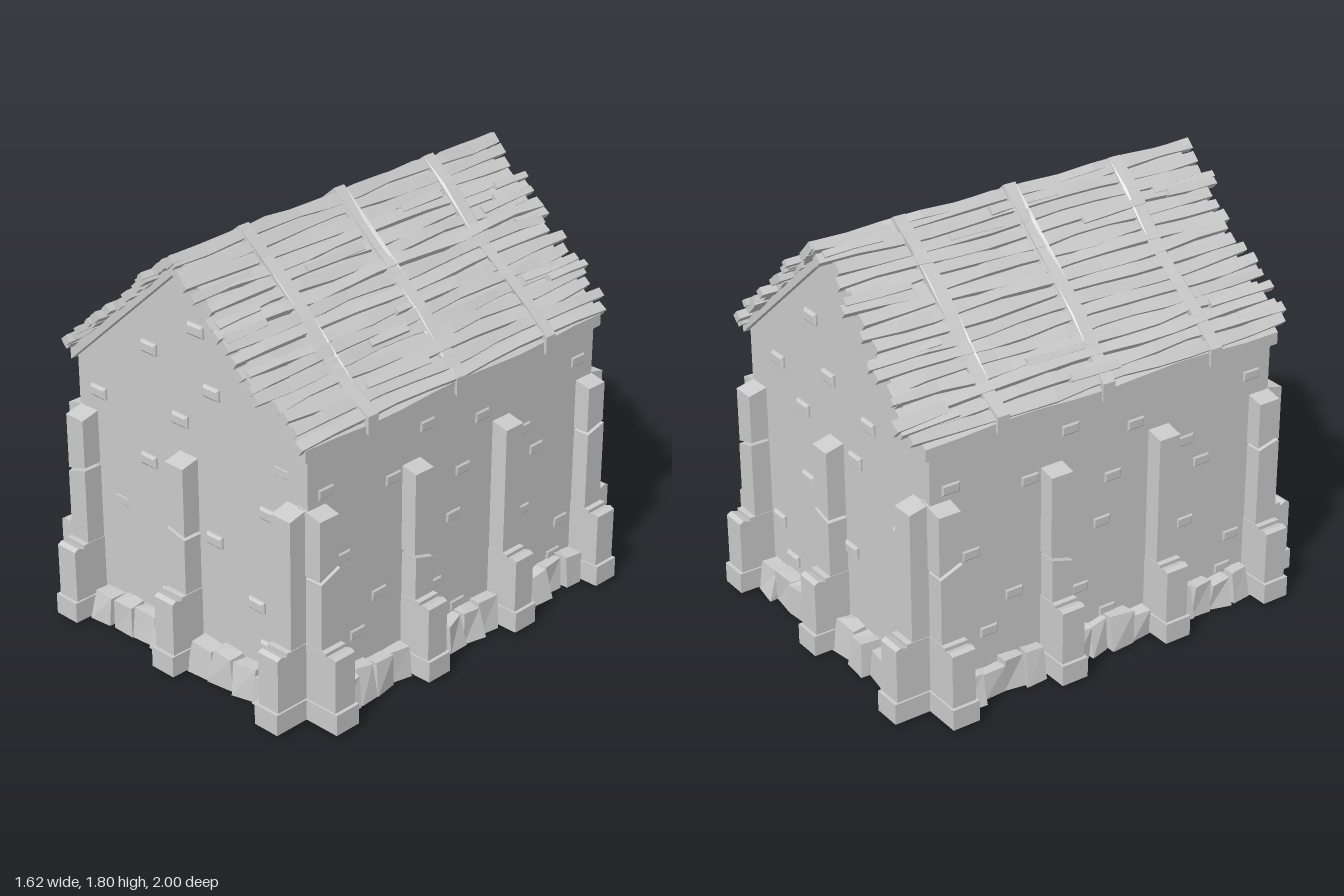
import * as THREE from 'three';

const stone = new THREE.MeshStandardMaterial({ color: 0xcccccc, flatShading: true });
const HX = 0.645, HZ = 0.825;          // half width and half length of the walls
const SLOPE = Math.atan(0.87), TAN = 0.87;

let seed = 7;
const rnd = () => (seed = (seed * 16807) % 2147483647) / 2147483647;
const vary = (a) => (rnd() * 2 - 1) * a;

function add(parent, name, geo) {
  geo.computeVertexNormals();
  const m = new THREE.Mesh(geo, stone);
  m.name = name;
  parent.add(m);
  return m;
}

// Moves every vertex by a rule
function warp(geo, rule) {
  const p = geo.attributes.position, v = new THREE.Vector3();
  for (let i = 0; i < p.count; i++) {
    v.fromBufferAttribute(p, i);
    rule(v);
    p.setXYZ(i, v.x, v.y, v.z);
  }
  return geo;
}

const polygon = (pts) => new THREE.Shape(pts.map(([x, y]) => new THREE.Vector2(x, y)));

function extrude(pts, depth, steps = 1) {
  return new THREE.ExtrudeGeometry(polygon(pts), { depth, steps, bevelEnabled: false }).translate(0, 0, -depth / 2);
}

// Gabled outline used for the roof deck and its straps
function chevron(top, bottom, halfW, n) {
  const pts = [];
  for (let i = -n; i <= n; i++) pts.push([i / n * halfW, top - Math.abs(i / n) * halfW * TAN]);
  return [...pts, [halfW, bottom - halfW * TAN], [0, bottom], [-halfW, bottom - halfW * TAN]];
}

// Part of a buttress shaft; local x points away from the wall
function shaft(g, y0, y1, cut0, cut1, fall) {
  const geo = new THREE.BoxGeometry(0.115, 1, 0.1).translate(0.0275, 0, 0);
  warp(geo, (v) => {
    const out = v.x > 0 ? 1 : 0;
    v.y = v.y > 0 ? y1 + cut1 * v.z - fall * out : y0 + cut0 * v.z;
  });
  return add(g, 'buttressShaft', geo);
}

function buttress(crack, slant) {
  const g = new THREE.Group();
  g.name = 'buttress';
  add(g, 'buttressFoot', new THREE.BoxGeometry(0.205, 0.09, 0.122).translate(0.0725, 0.06, 0));
  add(g, 'buttressLower', extrude([[-0.03, 0.1], [0.16, 0.1], [0.16, 0.335], [0.14, 0.345], [0.11, 0.335], [0.11, 0.35], [-0.03, 0.35]], 0.106));
  if (crack) {
    shaft(g, 0.34, crack - 0.006, 0, slant, 0);
    const top = shaft(g, crack + 0.006, 0.93, slant, 0, 0.028);
    top.position.x = -0.004;
    top.position.z = 0.003;
  } else shaft(g, 0.34, 0.93, 0, 0, 0.028);
  return g;
}

// Bevelled brick standing slightly out of the wall
function brick(sunk) {
  const w = 0.034, h = 0.016;
  const geo = new THREE.ExtrudeGeometry(polygon([[-w, -h], [w, -h], [w, h], [-w, h]]),
    { depth: 0.03, bevelSize: 0.009, bevelThickness: 0.008, bevelSegments: 1 });
  return geo.translate(0, 0, sunk ? -0.036 : -0.022);
}

// Rough foundation block with shifted corners
function rock(w, h, d) {
  const off = Array.from({ length: 8 }, () => [vary(0.01), vary(0.012), vary(0.016)]);
  return warp(new THREE.BoxGeometry(w, h, d), (v) => {
    const o = off[(v.x > 0) * 4 + (v.y > 0) * 2 + (v.z > 0) * 1];
    const top = v.y > 0;
    v.x = v.x * (top ? 0.93 : 1) + o[0];
    v.z += o[2] - (top && v.z > 0 ? 0.015 : 0);
    v.y += top ? o[1] : 0;
  });
}

// One wall's details; local +z points out of the wall, local x runs along it
function wallDetails(name, angle, dist, columns, bricks) {
  const g = new THREE.Group();
  g.name = name;
  g.rotation.y = angle;
  for (const [x, crack, slant] of columns) {
    const b = buttress(crack, slant);
    b.rotation.y = -Math.PI / 2;
    b.position.set(x, 0, dist);
    g.add(b);
  }
  for (const [x, y, sunk] of bricks) add(g, 'brick', brick(sunk)).position.set(x, y, dist);
  for (let i = 0; i + 1 < columns.length; i++) {
    const a = columns[i][0] + 0.055, span = columns[i + 1][0] - 0.055 - a;
    for (let k = 0; k < 4; k++) {
      const h = 0.13 + vary(0.014), d = 0.15 + vary(0.02);
      const r = add(g, 'foundationStone', rock(span / 4 - 0.004, h, d));
      r.position.set(a + span * (k + 0.5) / 4, h / 2 + 0.006, dist + 0.005);
      r.rotation.y = vary(0.08);
    }
  }
  return g;
}

// Long crooked roof strip lying along z
function strip(w, t, z0, z1, wave) {
  const len = z1 - z0, ph = rnd() * 6, ph2 = rnd() * 6, f = 5 + rnd() * 4;
  const geo = new THREE.BoxGeometry(w, t, len, 1, 1, Math.max(2, Math.round(len * 6))).translate(0, 0, (z0 + z1) / 2);
  return warp(geo, (v) => {
    v.x = v.x * (0.88 + 0.14 * Math.sin(f * 1.7 * v.z + ph2)) + wave * Math.sin(f * v.z + ph);
    v.y += wave * 0.6 * Math.sin(f * 1.3 * v.z + ph2);
  });
}

function roof() {
  const g = new THREE.Group();
  g.name = 'roof';
  // deck with a wavy eave
  add(g, 'roofDeck', warp(extrude(chevron(1.752, 1.7, 0.66, 4), 1.7, 10), (v) => {
    v.y += 0.008 * Math.sin(v.z * 8 + v.x * 2);
  }));
  for (const s of [-1, 1]) {
    const place = (m, u, lift, tilt) => {
      m.position.set(s * (u * Math.cos(SLOPE) + lift * Math.sin(SLOPE)), 1.76 - u * Math.sin(SLOPE) + lift * Math.cos(SLOPE), 0);
      m.rotation.z = -s * (SLOPE + tilt);
    };
    // full-length strips from ridge to eave
    for (let i = 0; i < 16; i++) {
      const m = add(g, 'roofStrip', strip(0.05, 0.034, -0.885 + vary(0.035), 0.89 + vary(0.035), 0.008));
      place(m, 0.012 + i * 0.0555, vary(0.005), vary(0.14));
    }
    // short loose pieces at the ends and across the middle
    for (let i = 0; i < 16; i++) {
      const end = i % 3 - 1, len = 0.18 + rnd() * 0.16;
      const c = end ? end * (0.91 + vary(0.025) - len / 2) : vary(0.4);
      const m = add(g, 'loosePiece', strip(0.036, 0.028, c - len / 2, c + len / 2, 0.004));
      place(m, 0.05 + rnd() * 0.78, 0.012, vary(0.15));
      m.rotation.x = vary(0.01);
    }
  }
  // one piece hanging out at the back corner
  const stray = add(g, 'loosePiece', new THREE.BoxGeometry(0.05, 0.045, 0.25));
  stray.position.set(-0.59, 1.265, -0.83);
  stray.rotation.set(0, 0.1, SLOPE);
  // three straps over the ridge
  for (const z of [-0.51, 0, 0.51]) {
    const strap = warp(extrude(chevron(1.798, 1.72, 0.672, 6), 0.056), (v) => {
      v.z += 0.012 * Math.sin(v.x * 11 + z * 5);
      v.y += 0.008 * Math.cos(v.x * 16 + z * 3) - 0.008;
    });
    add(g, 'roofStrap', strap).position.z = z;
  }
  return g;
}

export function createModel() {
  const model = new THREE.Group();
  model.name = 'stoneHouse';
  add(model, 'walls', extrude([[-HX, 0], [HX, 0], [HX, 1.15], [0, 1.72], [-HX, 1.15]], HZ * 2));

  const frontBricks = [[0.06, 1.47], [-0.21, 1.31], [0.14, 1.235], [-0.04, 1.06], [-0.52, 1.015], [-0.23, 0.815],
    [0.44, 0.825], [0.14, 0.6], [0.37, 0.405], [0.435, 0.235], [-0.13, 0.24], [-0.41, 0.565, true], [0.51, 1.03, true]];
  const backBricks = [[-0.155, 1.39], [-0.42, 1.1], [-0.04, 1.175], [-0.24, 0.96], [0.24, 1.08], [-0.22, 0.645],
    [0.14, 0.89], [-0.465, 0.35], [0.095, 0.47], [-0.37, 0.2], [0.45, 0.7]];
  const sideBricks = [[0.73, 0.965], [0.365, 0.885], [0.175, 1.045], [-0.145, 0.97], [-0.73, 1.01], [-0.035, 0.775],
    [-0.4, 0.815], [-0.485, 0.7], [0.64, 0.65], [0.015, 0.585], [0.44, 0.41], [-0.41, 0.44], [0.56, 0.28],
    [0.12, 0.315], [-0.66, 0.295], [-0.02, 0.165], [-0.62, 0.15]].map(([z, y]) => [-z, y]);

  const endColumns = [[-0.587, 0.67, -0.3], [0, 0.61, 0.25], [0.587, 0, 0]];
  const sideColumns = [[-0.78, 0.66, -0.4], [-0.26, 0.53, 0.3], [0.26, 0, 0], [0.78, 0.71, -0.25]];
  model.add(
    wallDetails('frontWallDetails', 0, HZ, endColumns, frontBricks),
    wallDetails('backWallDetails', Math.PI, HZ, endColumns, backBricks),
    wallDetails('leftWallDetails', Math.PI / 2, HX - 0.01, sideColumns, sideBricks),
    wallDetails('rightWallDetails', -Math.PI / 2, HX - 0.01, sideColumns, sideBricks),
    roof(),
  );
  return model;
}
